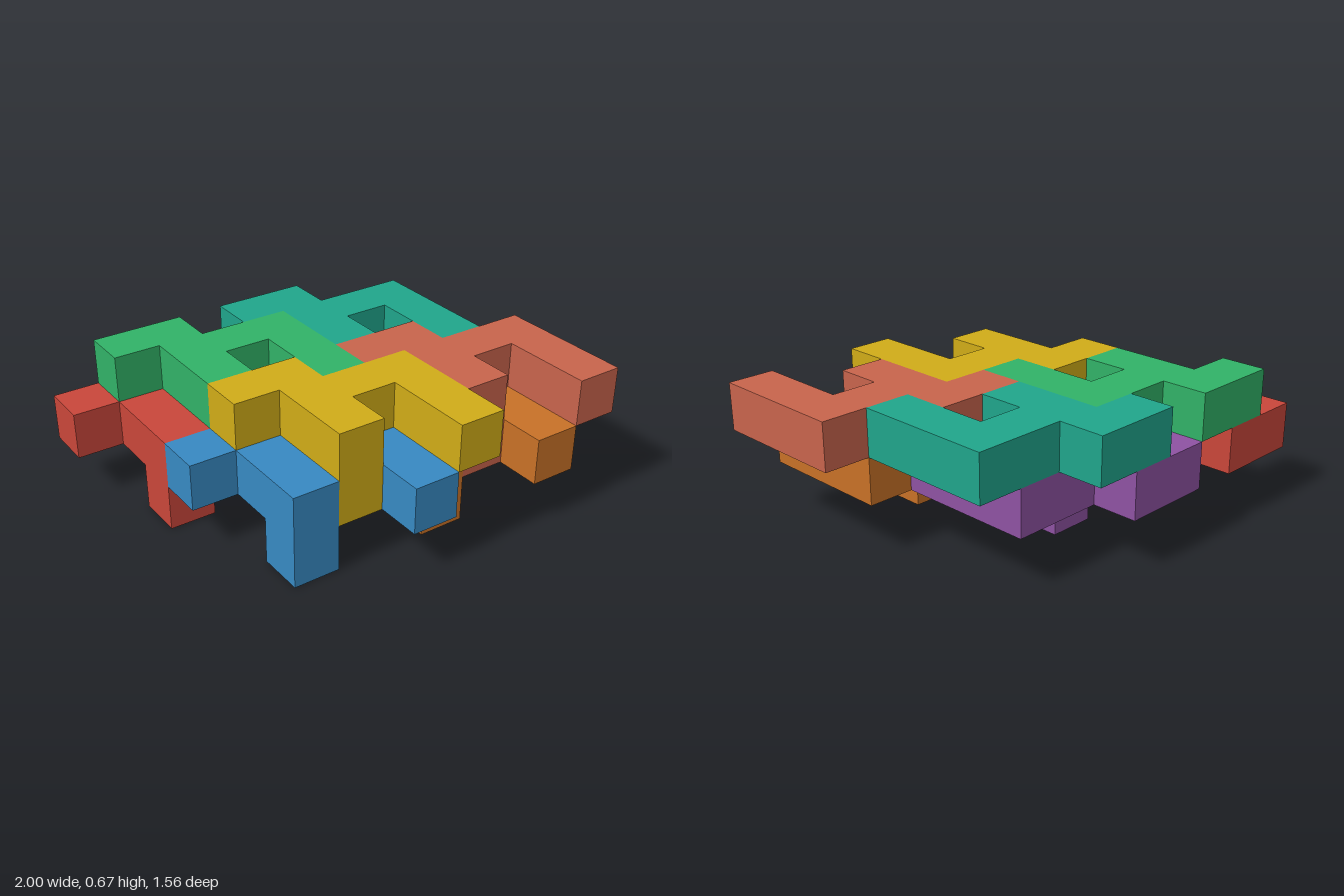
import * as THREE from 'three';

const CELL = 2 / 9;

// Stepped outline shared by every piece, in cells: [column, row towards the front]
const OUTLINE = [
  [0, 0], [2, 0], [2, 1], [4, 1], [4, 4], [3, 4],
  [3, 2], [2, 2], [2, 3], [1, 3], [1, 1], [0, 1],
];

// name, colour, column offset, row offset, height of the top face in cells
const PIECES = [
  ['redLowerPiece', 0xc9463a, 0, 0, 2],
  ['purpleLowerPiece', 0x8e52a2, 3, 0, 2],
  ['blueLowerPiece', 0x3789c2, 1, 3, 2],
  ['orangeLowerPiece', 0xc87127, 4, 3, 2],
  ['greenUpperPiece', 0x31b267, 1, 0, 3],
  ['tealUpperPiece', 0x20a58b, 4, 0, 3],
  ['yellowUpperPiece', 0xd0ac18, 2, 3, 3],
  ['salmonUpperPiece', 0xc8644c, 5, 3, 3],
];

export function createModel() {
  const model = new THREE.Group();
  model.name = 'interlockingBlockPuzzle';

  // Flat plate, one cell thick, hanging below its top face
  const shape = new THREE.Shape(OUTLINE.map(([c, r]) => new THREE.Vector2(c * CELL, r * CELL)));
  const plateGeometry = new THREE.ExtrudeGeometry(shape, { depth: CELL, bevelEnabled: false });
  plateGeometry.rotateX(Math.PI / 2);

  // Single-cell peg under the plate's short arm
  const pegGeometry = new THREE.BoxGeometry(CELL, CELL, CELL);
  pegGeometry.translate(1.5 * CELL, -1.5 * CELL, 2.5 * CELL);

  for (const [name, color, column, row, top] of PIECES) {
    const material = new THREE.MeshStandardMaterial({ color });
    const plate = new THREE.Mesh(plateGeometry, material);
    plate.name = 'plate';
    const peg = new THREE.Mesh(pegGeometry, material);
    peg.name = 'peg';

    const piece = new THREE.Group();
    piece.name = name;
    piece.add(plate, peg);
    piece.position.set((column - 4.5) * CELL, top * CELL, (row - 3.5) * CELL);
    model.add(piece);
  }
  return model;
}
